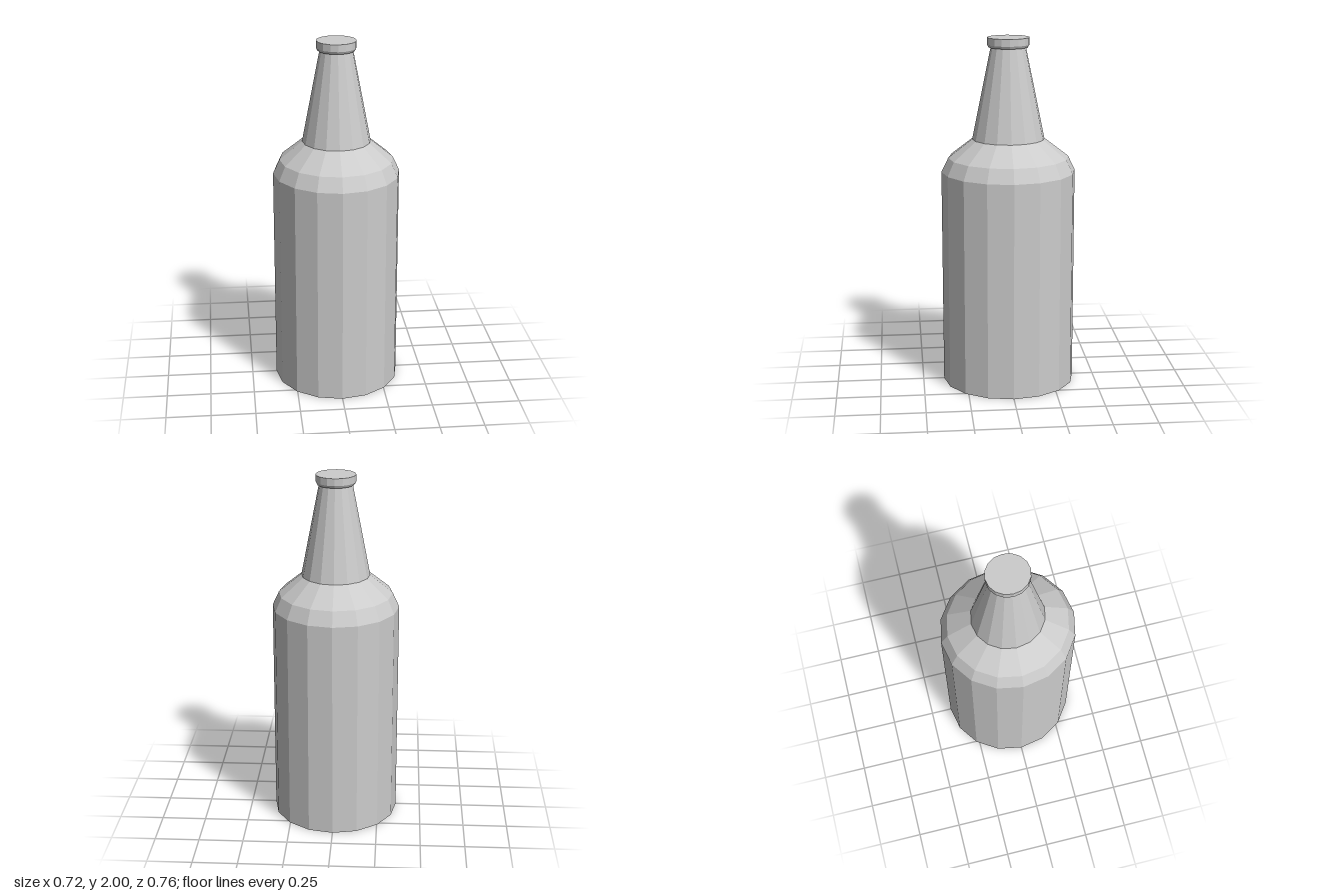
import * as THREE from 'three';

const SIDES = 16;
const DEPTH = 1.06; // the bottle is slightly deeper than wide

export function createModel() {
  const group = new THREE.Group();
  group.name = 'bottle';
  const material = new THREE.MeshStandardMaterial({ color: 0xcccccc, flatShading: true });

  // Turns a [radius, height] profile, listed from bottom to top
  const addTurned = (name, profile) => {
    const points = profile.map(([r, y]) => new THREE.Vector2(r, y));
    const geometry = new THREE.LatheGeometry(points, SIDES);
    geometry.scale(1, 1, DEPTH);
    const mesh = new THREE.Mesh(geometry, material);
    mesh.name = name;
    group.add(mesh);
  };

  // Flat base, straight wall and two-step shoulder
  addTurned('body', [[0, 0], [0.358, 0], [0.358, 1.245], [0.321, 1.325], [0.193, 1.43]]);

  // Tapered neck
  addTurned('neck', [[0.193, 1.43], [0.093, 1.945]]);

  // Closed lip with a bevelled underside
  addTurned('lip', [[0.093, 1.945], [0.104, 1.945], [0.112, 1.96], [0.112, 2], [0, 2]]);

  return group;
}
